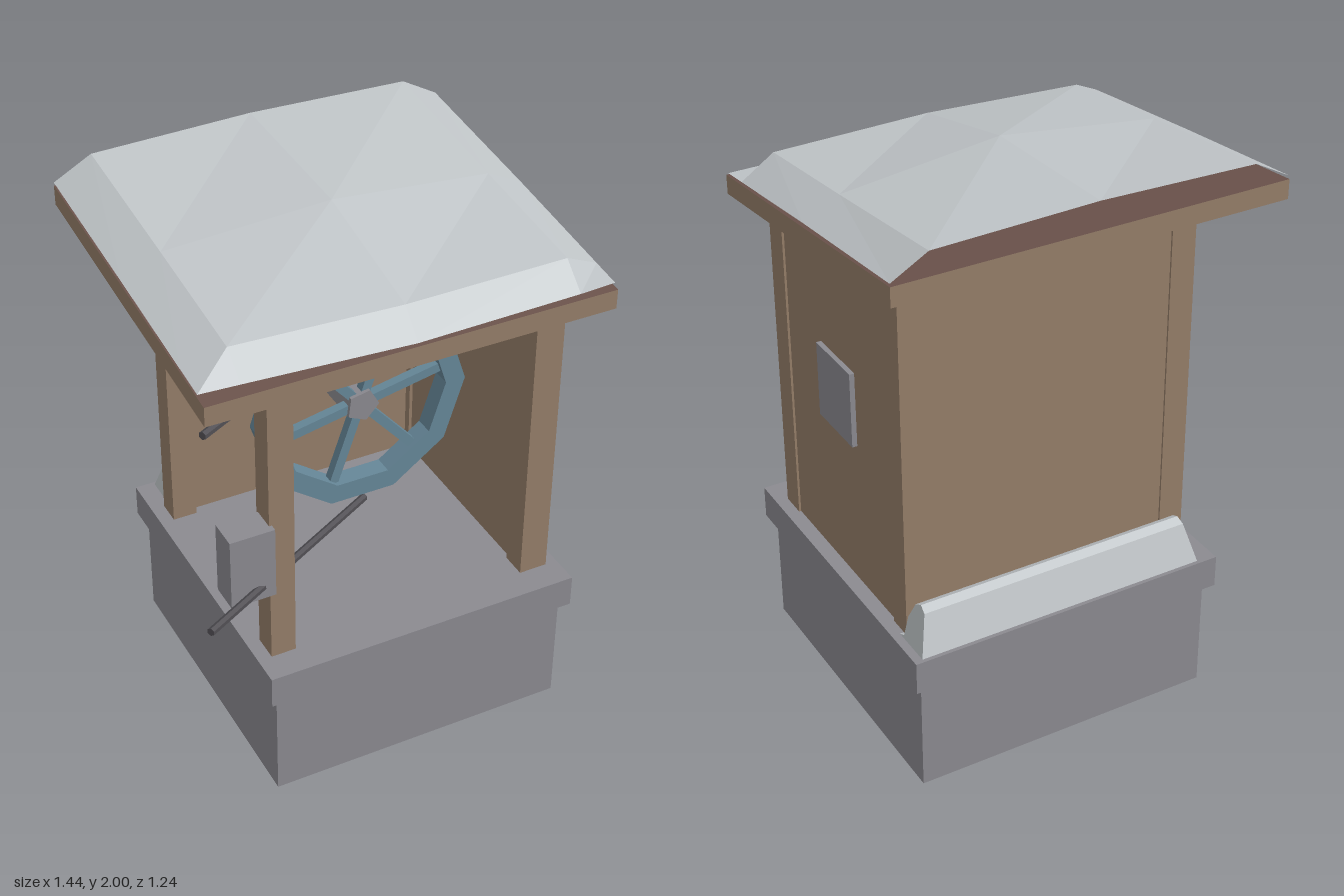
import * as THREE from 'three';

const material = (name, color, side = THREE.FrontSide) => {
  const m = new THREE.MeshStandardMaterial({ color, side, flatShading: true });
  m.name = name;
  return m;
};

export function createModel() {
  const group = new THREE.Group();
  const stone = material('grey stone', 0x8b8a90);
  const stoneThin = material('grey stone', 0x8b8a90, THREE.DoubleSide);
  const wood = material('brown wood', 0x957e69);
  const darkWood = material('dark roofing', 0x6b524b);
  const blue = material('blue iron', 0x668798);
  const cable = material('dark cable', 0x504e53);
  const snow = material('snow', 0xc0c5c8, THREE.DoubleSide);

  const add = (name, geometry, mat, parent = group) => {
    const mesh = new THREE.Mesh(geometry, mat);
    mesh.name = name;
    parent.add(mesh);
    return mesh;
  };
  // Box given by its limits on each axis
  const box = (name, mat, [x0, x1], [y0, y1], [z0, z1]) => {
    const g = new THREE.BoxGeometry(x1 - x0, y1 - y0, z1 - z0);
    g.translate((x0 + x1) / 2, (y0 + y1) / 2, (z0 + z1) / 2);
    return add(name, g, mat);
  };

  // Hollow foundation, open below, with a slab on top
  const foundation = new THREE.CylinderGeometry(Math.SQRT1_2, Math.SQRT1_2, 1, 4, 1, true);
  foundation.rotateY(Math.PI / 4).scale(1.11, 0.42, 1.11).translate(0.105, 0.21, -0.035);
  add('foundation', foundation, stoneThin);
  box('floorSlab', stone, [-0.48, 0.69], [0.42, 0.54], [-0.62, 0.55]);

  // Four posts, with walls at the back and the left only
  for (const x of [[-0.43, -0.34], [0.54, 0.645]])
    for (const z of [[-0.47, -0.38], [0.35, 0.445]])
      box('post', wood, x, [0.54, 1.81], z);
  box('backWall', wood, [-0.4, 0.6], [0.54, 1.79], [-0.463, -0.41]);
  box('sideWall', wood, [0.552, 0.637], [0.54, 1.79], [-0.43, 0.4]);
  box('wallPlate', stone, [0.62, 0.655], [1.09, 1.365], [-0.14, 0.1]);
  box('controlBox', stone, [-0.58, -0.42], [0.83, 1.1], [0.36, 0.47]);

  // Sloping roof: a box sheared so that it rises to the back
  const roof = new THREE.BoxGeometry(1.425, 0.07, 1.19);
  const rp = roof.attributes.position;
  for (let i = 0; i < rp.count; i++) rp.setY(i, rp.getY(i) - rp.getZ(i) * 0.113);
  roof.translate(0.002, 1.798, 0.025);
  roof.computeVertexNormals();
  add('roof', roof, [wood, wood, darkWood, darkWood, wood, wood]);

  // Snow cap: rows of points from the back to the front rim, open below
  const cols = [-0.71, -0.575, 0, 0.585, 0.715];
  const capRows = [
    { z: [-0.57, -0.57, -0.57, -0.57, -0.57], y: [1.912, 1.985, 2, 1.985, 1.912] },
    { z: [0, 0, 0.035, 0.02, 0.02], y: [1.85, 1.92, 1.975, 1.915, 1.85] },
    { z: [0.45, 0.49, 0.53, 0.515, 0.49], y: [1.797, 1.86, 1.865, 1.86, 1.793] },
    { z: [0.572, 0.58, 0.615, 0.605, 0.6], y: [1.782, 1.781, 1.775, 1.778, 1.78] },
  ];
  const cap = new THREE.PlaneGeometry(1, 1, 4, 3);
  capRows.forEach((row, r) => cols.forEach((x, c) =>
    cap.attributes.position.setXYZ(r * 5 + c, x, row.y[c], row.z[c])));
  cap.computeVertexNormals();
  add('roofSnow', cap, snow);

  // Snow drift behind the back wall, its ends leaning in
  const profile = [[0.45, 0.54], [0.475, 0.55], [0.475, 0.62], [0.5, 0.68], [0.53, 0.695], [0.56, 0.68], [0.606, 0.54]];
  const drift = new THREE.ExtrudeGeometry(
    new THREE.Shape(profile.map(([u, v]) => new THREE.Vector2(u, v))),
    { depth: 1.07, bevelEnabled: false });
  drift.rotateY(Math.PI / 2).translate(-0.41, 0, 0);
  const dp = drift.attributes.position;
  for (let i = 0; i < dp.count; i++) {
    const lean = (dp.getY(i) - 0.54) * 0.25;
    dp.setX(i, dp.getX(i) + (dp.getX(i) < 0 ? lean : -lean));
  }
  drift.computeVertexNormals();
  add('snowDrift', drift, snow);

  // Ten-sided wheel with six spokes
  const wheel = new THREE.Group();
  wheel.name = 'wheel';
  wheel.position.set(0.07, 1.215, 0.105);
  group.add(wheel);
  const ring = (r) => Array.from({ length: 10 }, (_, i) =>
    new THREE.Vector2(r * Math.cos(i * Math.PI / 5), r * Math.sin(i * Math.PI / 5)));
  const rim = new THREE.Shape(ring(0.39));
  rim.holes.push(new THREE.Path(ring(0.316)));
  const rimGeometry = new THREE.ExtrudeGeometry(rim, { depth: 0.07, bevelEnabled: false });
  add('wheelRim', rimGeometry.translate(0, 0, -0.035), blue, wheel);
  for (let i = 0; i < 6; i++) {
    const spoke = new THREE.BoxGeometry(0.28, 0.034, 0.034).translate(0.18, 0, 0);
    spoke.rotateZ((11 + 60 * i) * Math.PI / 180);
    add('spoke', spoke, blue, wheel);
  }

  // Five-sided axle running back to a wooden block on the wall
  const axle = new THREE.CylinderGeometry(0.062, 0.062, 0.53, 5).rotateX(Math.PI / 2);
  add('axle', axle.rotateZ(0.2).translate(0.07, 1.215, -0.13), stone);
  box('axleBlock', wood, [0.01, 0.13], [1.155, 1.275], [-0.42, -0.33]);

  // Two straight cables from the wheel out past the front post
  for (const [y0, y1] of [[1.66, 1.598], [0.894, 0.83]]) {
    const path = new THREE.LineCurve3(new THREE.Vector3(-0.715, y0, 0.61), new THREE.Vector3(0.075, y1, 0.14));
    const length = path.getLength();
    const rope = add('cable', new THREE.CylinderGeometry(0.014, 0.014, length, 6), cable);
    rope.position.copy(path.getPoint(0.5));
    rope.quaternion.setFromUnitVectors(new THREE.Vector3(0, 1, 0), path.getTangent(0));
  }

  return group;
}
